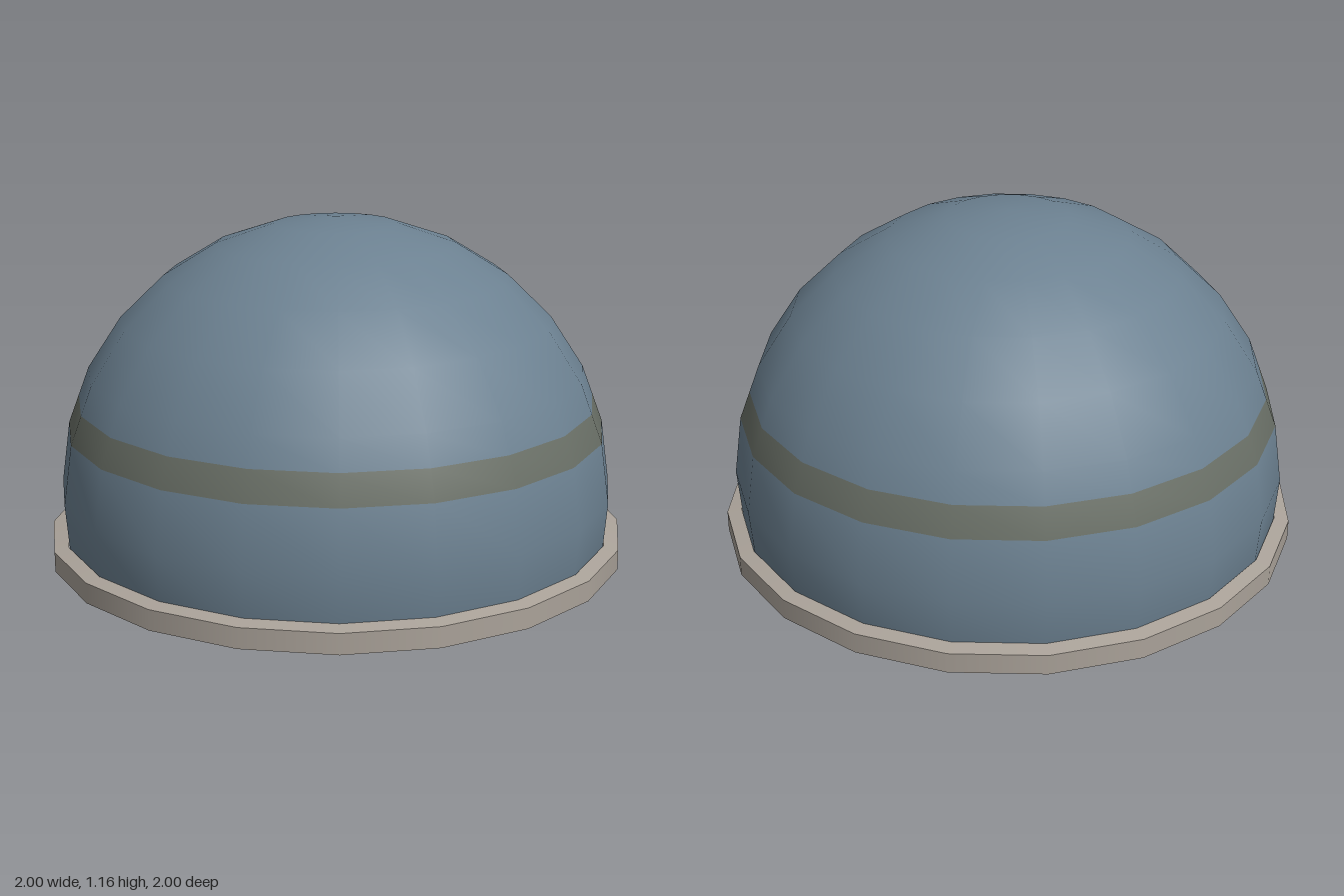
import * as THREE from 'three';
import { mergeGeometries } from 'three/addons/utils/BufferGeometryUtils.js';

const SIDES = 20;
const RADIUS = 0.96;
const CENTRE_Y = 0.2;
const ROWS = 8;
const SWEEP = Math.PI * 0.56; // the dome runs slightly past its equator

const material = (name, color) => {
  const m = new THREE.MeshStandardMaterial({ color, side: THREE.DoubleSide });
  m.name = name;
  return m;
};

// Dome profile point on row i, counted from the crown
function domePoint(i) {
  const a = (SWEEP * i) / ROWS;
  return new THREE.Vector2(RADIUS * Math.sin(a), CENTRE_Y + RADIUS * Math.cos(a));
}

// Revolved dome piece, smoothed with normals from the sphere centre
function domePiece(points) {
  const g = new THREE.LatheGeometry(points, SIDES);
  const p = g.attributes.position;
  const n = new THREE.Vector3();
  for (let i = 0; i < p.count; i++) {
    n.set(p.getX(i), p.getY(i) - CENTRE_Y, p.getZ(i)).normalize();
    g.attributes.normal.setXYZ(i, n.x, n.y, n.z);
  }
  return g;
}

export function createModel() {
  const group = new THREE.Group();
  group.name = 'dome';
  const blue = material('slateBlue', 0x6c8191);
  const olive = material('oliveGrey', 0x6a7067);
  const stone = material('warmGrey', 0xaaa299);

  const add = (name, geometry, mat) => {
    const mesh = new THREE.Mesh(geometry, mat);
    mesh.name = name;
    group.add(mesh);
  };

  // Shell rows from bottom to crown, divided by the stripe
  const rows = Array.from({ length: ROWS + 1 }, (_, i) => domePoint(ROWS - i));
  const stripeTop = rows[2].clone().lerp(rows[3], 0.5);
  rows[ROWS].x = 0;
  add('lowerShell', domePiece(rows.slice(0, 3)), blue);
  add('stripe', domePiece([rows[2], stripeTop]), olive);
  add('upperShell', domePiece([stripeTop, ...rows.slice(3)]), blue);

  // Base ring with a slightly sloped top and crisp edges
  const ring = [[0.95, 0], [1, 0], [1, 0.07], [0.95, 0.08], [0.95, 0]]
    .map(([x, y]) => new THREE.Vector2(x, y));
  const faces = ring.slice(1).map((p, i) => new THREE.LatheGeometry([ring[i], p], SIDES));
  add('baseRing', mergeGeometries(faces), stone);

  return group;
}
